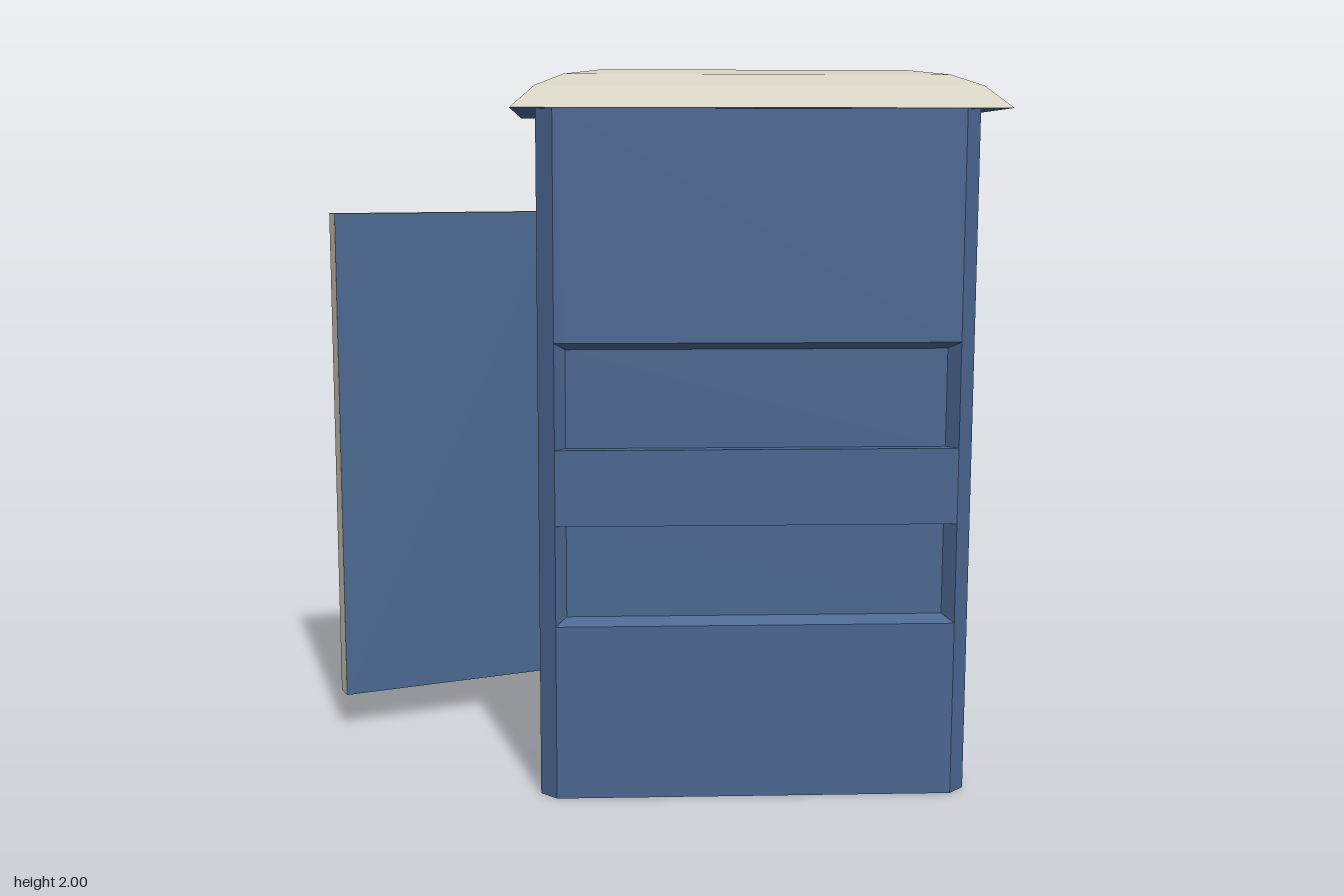
import * as THREE from 'three';

const HX = 0.595, HZ = 0.445, H = 1.89, CX = 0.285; // cabin half sizes, height, centre
const C = 0.045;                                    // corner chamfer
const DEPTH = 0.035;                                // groove depth
const OPEN = { z: 0.36, y0: 0.11, y1: 1.6 };        // doorway

function material(name, color) {
  const m = new THREE.MeshStandardMaterial({ color });
  m.name = name;
  return m;
}

function mesh(name, geometry, mat, parent) {
  const m = new THREE.Mesh(geometry, mat);
  m.name = name;
  parent.add(m);
  return m;
}

// Flat-faced geometry from a flat list of triangle corners
function facets(points) {
  const g = new THREE.BufferGeometry();
  g.setAttribute('position', new THREE.Float32BufferAttribute(points.flat(), 3));
  g.computeVertexNormals();
  return g;
}

// Wall facing +z with two sunken bands that bevel in at the sides
function grooveWall(width) {
  const rows = [[0, 0], [0.49, 0], [0.51, 1], [0.77, 1], [0.77, 0],
    [0.98, 0], [0.98, 1], [1.25, 1], [1.27, 0], [H, 0]];
  const h = width / 2;
  const cols = [[-h, 0], [-h + 0.03, 1], [h - 0.03, 1], [h, 0]];
  const at = (r, c) => [cols[c][0], rows[r][0], -DEPTH * rows[r][1] * cols[c][1]];
  const pts = [];
  for (let r = 0; r < rows.length - 1; r++) {
    for (let c = 0; c < 3; c++) {
      const p = at(r, c), q = at(r, c + 1), s = at(r + 1, c + 1), t = at(r + 1, c);
      const sunkAbove = rows[r + 1][1] > rows[r][1];
      // the diagonal runs from the outer corner to the sunken one
      if ((c === 2) === sunkAbove) pts.push(p, q, t, q, s, t);
      else pts.push(p, q, s, p, s, t);
    }
  }
  return facets(pts);
}

// Hipped roof: rectangular rings stepping inward, closed on top
function roofGeometry() {
  const rings = [[0, H], [0.065, 1.95], [0.14, 1.983], [0.24, 2]].map(([inset, y]) => {
    const x = 0.66 - inset, z = 0.5 - inset;
    return [[-x, y, z], [x, y, z], [x, y, -z], [-x, y, -z]];
  });
  const pts = [];
  for (let r = 0; r < rings.length - 1; r++) {
    for (let i = 0; i < 4; i++) {
      const j = (i + 1) % 4, a = rings[r], b = rings[r + 1];
      pts.push(a[i], a[j], b[j], a[i], b[j], b[i]);
    }
  }
  const t = rings[rings.length - 1];
  pts.push(t[0], t[1], t[2], t[0], t[2], t[3]);
  return facets(pts);
}

function roundedRect(w, h, r) {
  const s = new THREE.Shape();
  s.absarc(w / 2 - r, h / 2 - r, r, 0, Math.PI / 2);
  s.absarc(-w / 2 + r, h / 2 - r, r, Math.PI / 2, Math.PI);
  s.absarc(-w / 2 + r, -h / 2 + r, r, Math.PI, Math.PI * 1.5);
  s.absarc(w / 2 - r, -h / 2 + r, r, Math.PI * 1.5, Math.PI * 2);
  return s;
}

export function createModel() {
  const blue = material('cabin blue', 0x4a668f);
  const cream = material('cream', 0xd4d1c1);
  const pale = material('interior pale blue', 0x78a0bc);

  const model = new THREE.Group();
  model.name = 'portableCabin';
  const cabin = new THREE.Group();
  cabin.name = 'cabin';
  cabin.position.x = CX;
  model.add(cabin);

  // Three grooved walls
  mesh('frontWall', grooveWall(2 * (HX - C)), blue, cabin).position.z = HZ;
  const back = mesh('backWall', grooveWall(2 * (HX - C)), blue, cabin);
  back.position.z = -HZ;
  back.rotation.y = Math.PI;
  const side = mesh('sideWall', grooveWall(2 * (HZ - C)), blue, cabin);
  side.position.x = HX;
  side.rotation.y = Math.PI / 2;

  // Chamfered corner strips
  for (const sx of [-1, 1]) for (const sz of [-1, 1]) {
    const strip = mesh('cornerStrip', new THREE.PlaneGeometry(C * Math.SQRT2, H), blue, cabin);
    strip.position.set(sx * (HX - C / 2), H / 2, sz * (HZ - C / 2));
    strip.rotation.y = Math.atan2(sx, sz);
  }

  // Wall with the doorway
  const w = HZ - C;
  const wall = new THREE.Shape([[-w, 0], [w, 0], [w, H], [-w, H]].map(p => new THREE.Vector2(...p)));
  const { z, y0, y1 } = OPEN;
  wall.holes.push(new THREE.Path([[-z, y0], [-z, y1], [z, y1], [z, y0]].map(p => new THREE.Vector2(...p))));
  const doorway = mesh('doorwayWall', new THREE.ShapeGeometry(wall), blue, cabin);
  doorway.position.x = -HX;
  doorway.rotation.y = -Math.PI / 2;

  // Inside room: box turned inside out, open at the doorway
  const depth = 2 * HX - 0.08;
  const room = new THREE.BoxGeometry(depth, y1 - y0, 2 * z);
  room.setIndex([...room.index.array].filter((_, i) => i < 6 || i >= 12).reverse());
  room.computeVertexNormals();
  mesh('interior', room, pale, cabin).position.set(-0.04, (y0 + y1) / 2, 0);

  // Floor underside and roof underside
  const floor = new THREE.Shape([[-HX, -w], [-HX + C, -HZ], [HX - C, -HZ], [HX, -w],
    [HX, w], [HX - C, HZ], [-HX + C, HZ], [-HX, w]].map(p => new THREE.Vector2(...p)));
  mesh('base', new THREE.ShapeGeometry(floor), blue, cabin).rotation.x = Math.PI / 2;
  const soffit = mesh('roofUnderside', new THREE.PlaneGeometry(1.32, 1), blue, cabin);
  soffit.position.y = H;
  soffit.rotation.x = Math.PI / 2;
  mesh('roof', roofGeometry(), cream, cabin);

  // Open door with cream edges and a handle plate outside
  const door = new THREE.Group();
  door.name = 'door';
  door.position.set(-0.608, (y0 + y1) / 2, -0.338);
  door.rotation.y = 0.381;
  model.add(door);
  mesh('doorPanel', new THREE.BoxGeometry(0.71, y1 - y0, 0.065),
    [cream, cream, cream, cream, blue, blue], door);
  const plate = new THREE.ExtrudeGeometry(roundedRect(0.445, 0.1, 0.022),
    { depth: 0.004, bevelEnabled: false, curveSegments: 4 });
  mesh('doorHandle', plate, cream, door).position.set(0, 1.11 - (y0 + y1) / 2, -0.0365);

  return model;
}
